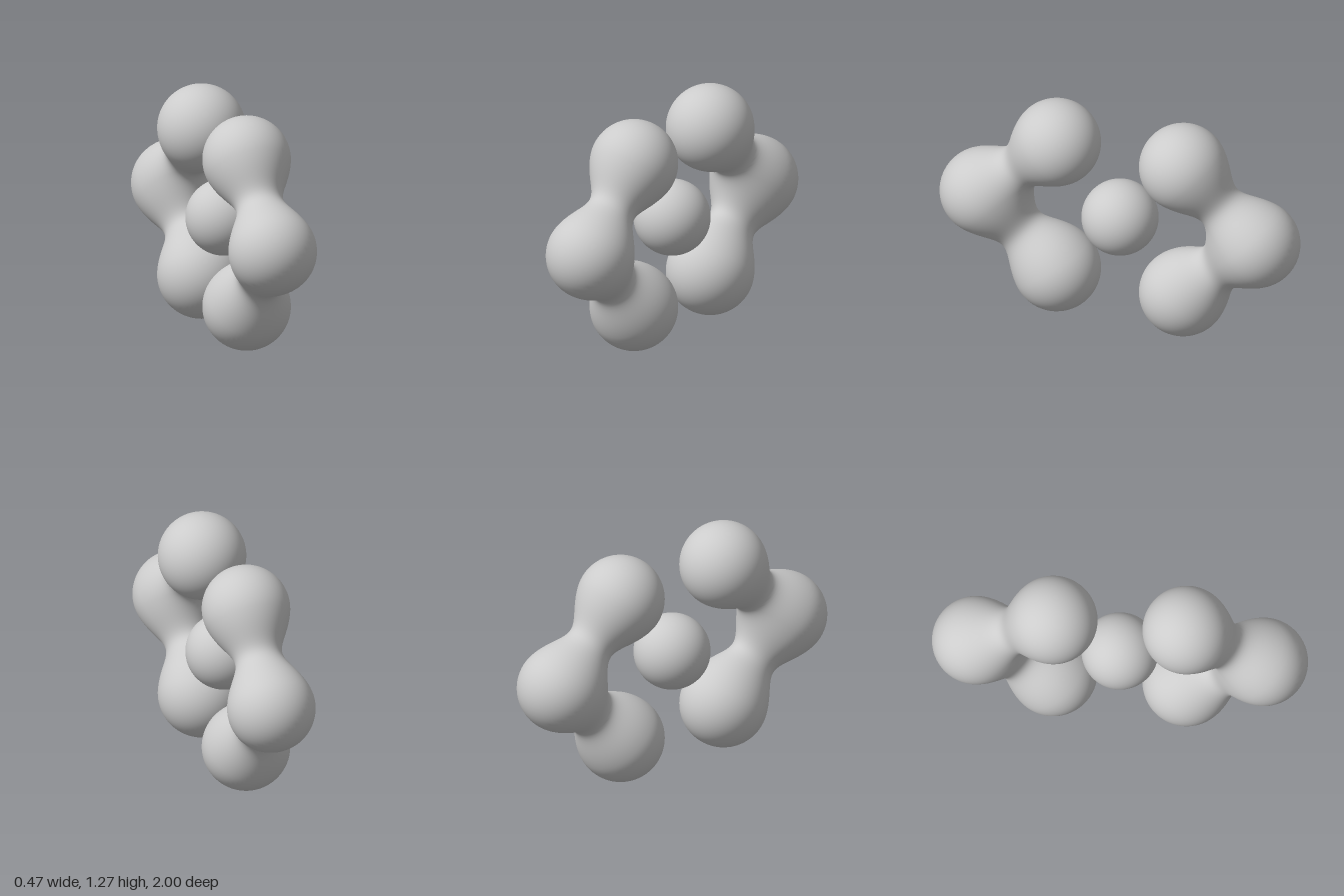
import * as THREE from 'three';

const MID_Y = 0.6375;   // height of the centre line
const R = 0.235;        // radius of each linked ball
const BLEND = 0.32;     // width of the soft blend between balls
const PIVOT = 0.3;      // z of the hinge line the cross-sections fan around
const END_Z = 0.355, END_Y = 0.4025, ARM_Z = 0.765;

// Soft union of the three linked balls (heights measured from the centre line)
const smoothMin = (a, b) => {
  const h = Math.max(BLEND - Math.abs(a - b), 0) / BLEND;
  return Math.min(a, b) - h * h * BLEND / 4;
};
const ball = (x, y, z, cy, cz) => Math.hypot(x, y - cy, z - cz) - R;
const field = (x, y, z) => smoothMin(
  smoothMin(ball(x, y, z, 0, ARM_Z), ball(x, y, z, END_Y, END_Z)),
  ball(x, y, z, -END_Y, END_Z));

// Cross-sections fan around the hinge line; each ring is fitted to the soft union
function linkedBallsGeometry(rings = 160, sides = 72) {
  const endDist = Math.hypot(END_Z - PIVOT, END_Y);
  const endAngle = Math.atan2(END_Y, END_Z - PIVOT);
  const maxAngle = endAngle + Math.asin(R / endDist);
  const pos = [], nor = [], idx = [];
  for (let i = 0; i <= rings; i++) {
    const a = maxAngle * Math.sin((i / rings - 0.5) * Math.PI);
    const w = THREE.MathUtils.smoothstep(Math.abs(a), 0.45, 0.85);
    const c = THREE.MathUtils.lerp((ARM_Z - PIVOT) * Math.cos(a),
      endDist * Math.cos(Math.abs(a) - endAngle), w);
    const tip = i === 0 || i === rings;
    for (let j = 0; j <= sides; j++) {
      const p = (j / sides) * Math.PI * 2;
      const at = t => {
        const r = c + t * Math.cos(p);
        return [t * Math.sin(p), r * Math.sin(a), PIVOT + r * Math.cos(a)];
      };
      let lo = 0, hi = tip ? 0 : 0.3;
      for (let k = 0; k < 24; k++) {
        const m = (lo + hi) / 2;
        if (field(...at(m)) < 0) lo = m; else hi = m;
      }
      const [x, y, z] = at(lo), e = 1e-4;
      const n = new THREE.Vector3(
        field(x + e, y, z) - field(x - e, y, z),
        field(x, y + e, z) - field(x, y - e, z),
        field(x, y, z + e) - field(x, y, z - e)).normalize();
      pos.push(x, y, z);
      nor.push(n.x, n.y, n.z);
      if (i < rings && j < sides) {
        const q = i * (sides + 1) + j, u = q + sides + 1;
        if (i > 0) idx.push(q, q + 1, u);
        if (i < rings - 1) idx.push(q + 1, u + 1, u);
      }
    }
  }
  const g = new THREE.BufferGeometry();
  g.setAttribute('position', new THREE.Float32BufferAttribute(pos, 3));
  g.setAttribute('normal', new THREE.Float32BufferAttribute(nor, 3));
  g.setIndex(idx);
  return g;
}

export function createModel() {
  const group = new THREE.Group();
  const material = new THREE.MeshStandardMaterial({ color: 0xcccccc });
  const add = (name, geometry, turn = 0) => {
    const mesh = new THREE.Mesh(geometry, material);
    mesh.name = name;
    mesh.position.y = MID_Y;
    mesh.rotation.y = turn;
    group.add(mesh);
  };

  // Two facing chains of three balls
  const chain = linkedBallsGeometry();
  add('frontLinkedBalls', chain);
  add('backLinkedBalls', chain, Math.PI);

  // Free ball in the middle
  add('centreBall', new THREE.SphereGeometry(0.205, 64, 40));
  return group;
}
